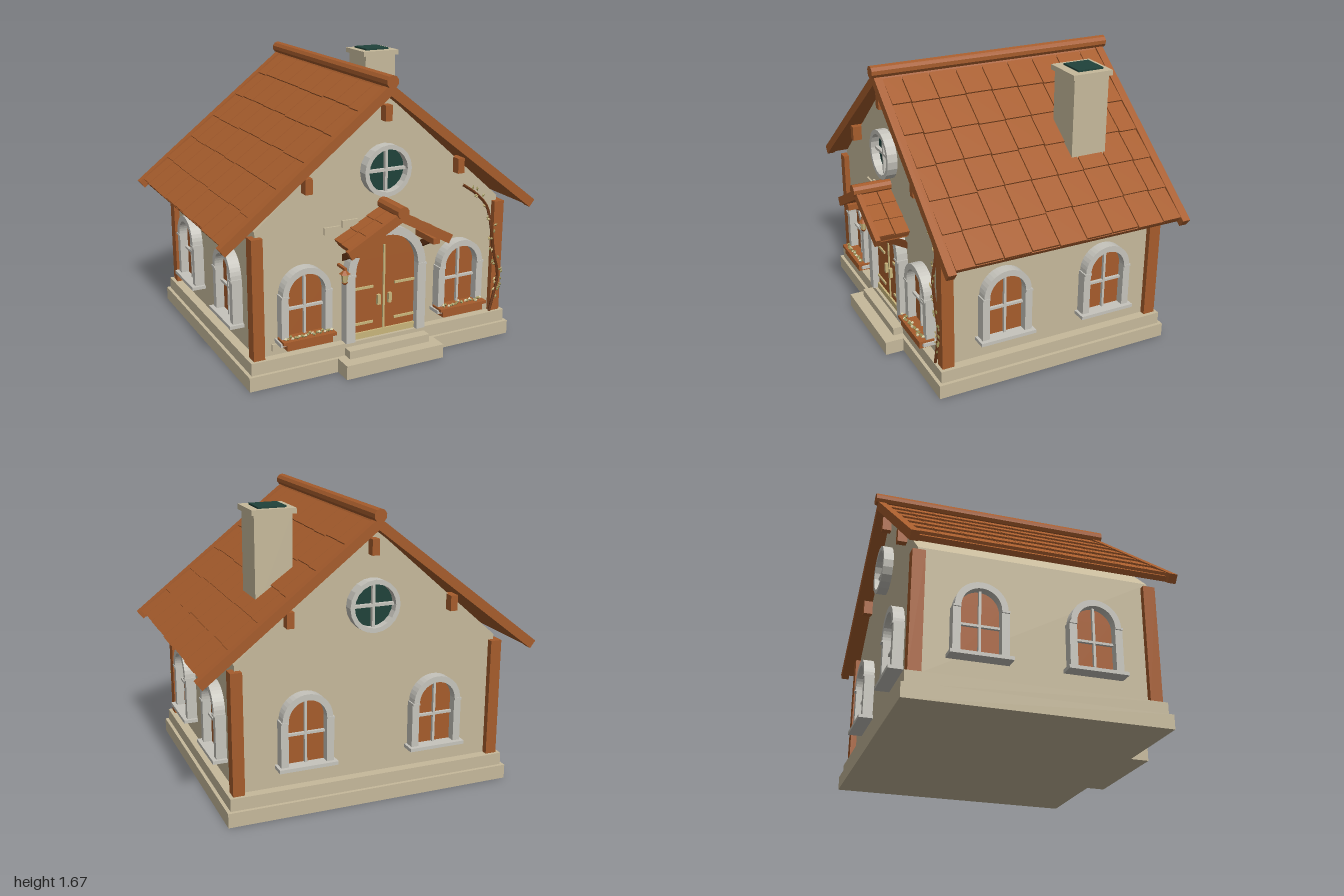
import * as THREE from 'three';

const mat = (name, color) => {
  const m = new THREE.MeshStandardMaterial({ color, flatShading: true });
  m.name = name;
  return m;
};

export function createModel() {
  const plaster = mat('plaster', 0xc6b99b), wood = mat('wood', 0xa65c2c), stone = mat('stone', 0xc6c4bc);
  const glass = mat('dark glass', 0x1f423a), brass = mat('brass', 0xc9b67c), darkWood = mat('dark wood', 0x6b3818);
  const leaf = mat('leaf', 0x9c9358), cream = mat('flower cream', 0xd8cfa8);
  const model = new THREE.Group();
  model.name = 'cottage';

  const add = (parent, name, geo, m, x = 0, y = 0, z = 0) => {
    const mesh = new THREE.Mesh(geo, m);
    mesh.name = name;
    mesh.position.set(x, y, z);
    parent.add(mesh);
    return mesh;
  };
  // Box given by its lower and upper bounds
  const box = (parent, name, m, x0, x1, y0, y1, z0, z1) =>
    add(parent, name, new THREE.BoxGeometry(x1 - x0, y1 - y0, z1 - z0), m, (x0 + x1) / 2, (y0 + y1) / 2, (z0 + z1) / 2);
  const extrude = (shape, depth) => new THREE.ExtrudeGeometry(shape, { depth, bevelEnabled: false, curveSegments: 10 });
  const hash = (i) => { const v = Math.sin(i * 12.9898) * 43758.5453; return v - Math.floor(v); };
  const group = (name, x = 0, y = 0, z = 0, ry = 0) => {
    const g = new THREE.Group();
    g.name = name;
    g.position.set(x, y, z);
    g.rotation.y = ry;
    model.add(g);
    return g;
  };

  // Stepped foundation
  box(model, 'lowerPlinth', plaster, -0.85, 0.85, 0, 0.083, -0.8, 0.67);
  box(model, 'upperPlinth', plaster, -0.83, 0.83, 0.083, 0.155, -0.78, 0.65);
  box(model, 'lowerStep', plaster, -0.315, 0.315, 0, 0.083, 0.6, 0.78);
  box(model, 'upperStep', plaster, -0.26, 0.26, 0.083, 0.13, 0.6, 0.71);

  // Gabled walls
  const X = 0.775, ZF = 0.6, ZB = -0.725;
  const gable = new THREE.Shape([[-X, 0.15], [X, 0.15], [X, 0.88], [0, 1.56], [-X, 0.88]].map(p => new THREE.Vector2(...p)));
  add(model, 'walls', extrude(gable, ZF - ZB), plaster, 0, 0, ZB);
  for (const x of [-X, X]) for (const z of [ZF - 0.003, ZB])
    box(model, 'cornerPost', wood, x - 0.033, x + 0.033, 0.155, 0.85, z - 0.036, z + 0.036);

  // Purlin ends under both gables
  for (const [x, y] of [[0, 1.455], [-0.48, 1.105], [0.48, 1.105]])
    for (const z of [ZF + 0.015, ZB - 0.015])
      box(model, 'purlinEnd', wood, x - 0.021, x + 0.021, y - 0.044, y + 0.044, z - 0.04, z + 0.04);

  // Pitched roof: d runs down the slope, n is the height off the slope
  function makeRoof(prefix, apexY, angle, length, z0, z1, rows, seams, bargeEnds) {
    const g = group(prefix);
    const c = Math.cos(angle), s = Math.sin(angle);
    const slab = (side, name, m, d0, d1, n0, n1, za, zb, tilt = 0) => {
      const d = (d0 + d1) / 2, n = (n0 + n1) / 2;
      const mesh = add(g, name, new THREE.BoxGeometry(d1 - d0, n1 - n0, zb - za), m,
        side * (d * c + n * s), apexY - d * s + n * c, (za + zb) / 2);
      mesh.rotation.z = -side * (angle - tilt);
    };
    for (const side of [-1, 1]) {
      slab(side, prefix + 'Deck', wood, 0, length - 0.03, -0.05, -0.02, z0, z1);
      for (const [a, b] of bargeEnds) slab(side, prefix + 'Barge', wood, 0, length, -0.05, 0.003, a, b);
      const step = (length - 0.04) / rows;
      for (let r = 0; r < rows; r++) for (let k = 0; k < seams.length - 1; k++) {
        const j = hash(r * 17 + k * 5 + side * 3) * 0.012;
        slab(side, prefix + 'Tile', wood, r * step, (r + 1) * step + 0.006 + j, -0.021, -0.004,
          seams[k] + 0.003, seams[k + 1] - 0.003, 0.05);
      }
    }
    return g;
  }
  const seams = [-0.77];
  for (let k = 0; k < 8; k++) seams.push(-0.65 + k * 0.166);
  seams.push(0.627);
  const ridge = (parent, name, r, y, z0, z1) => {
    const m = add(parent, name, new THREE.CylinderGeometry(r, r, z1 - z0, 10), wood, 0, y, (z0 + z1) / 2);
    m.rotation.x = Math.PI / 2;
  };
  const roof = makeRoof('roof', 1.615, 0.661, 1.266, -0.8, 0.65, 6, seams, [[-0.815, -0.768], [0.628, 0.675]]);
  ridge(roof, 'ridgeBeam', 0.037, 1.63, -0.83, 0.69);

  // Porch roof with braces
  const porch = makeRoof('porchRoof', 0.94, 0.5, 0.375, 0.58, 0.8, 3, [0.6, 0.69, 0.787], [[0.785, 0.815]]);
  ridge(porch, 'porchRidge', 0.036, 0.94, 0.58, 0.83);
  for (const x of [-0.24, 0.24]) {
    box(porch, 'porchBeam', wood, x - 0.022, x + 0.022, 0.715, 0.75, 0.59, 0.79);
    const brace = add(porch, 'porchBrace', new THREE.BoxGeometry(0.034, 0.035, 0.16), darkWood, x, 0.69, 0.665);
    brace.rotation.x = -0.5;
  }

  // Chimney
  box(model, 'chimneyStack', plaster, 0.365, 0.58, 1.08, 1.62, -0.5, -0.28);
  box(model, 'chimneyCap', plaster, 0.345, 0.596, 1.615, 1.645, -0.515, -0.265);
  box(model, 'chimneyFlue', glass, 0.39, 0.552, 1.645, 1.655, -0.48, -0.32);

  // Arched panel, from y0 up to a half circle of radius r at height ys
  const archShape = (r, y0, ys) => {
    const s = new THREE.Shape();
    s.moveTo(-r, y0);
    s.lineTo(r, y0);
    s.lineTo(r, ys);
    s.absarc(0, ys, r, 0, Math.PI, false);
    s.lineTo(-r, y0);
    return s;
  };
  // Half-ring of stones on two jambs
  function surround(g, ri, ro, y0, ys, depth) {
    const s = new THREE.Shape();
    s.absarc(0, ys, ro, 0, Math.PI, false);
    s.absarc(0, ys, ri, Math.PI, 0, true);
    add(g, 'archStones', extrude(s, depth), stone);
    for (const k of [-1, 1]) {
      const mid = k * (ri + ro + 0.008) / 2, h = (ro + 0.008 - ri) / 2;
      box(g, 'jamb', stone, mid - h, mid + h, y0, ys - 0.012, 0, depth - 0.004);
      box(g, 'impost', stone, mid - h, mid + h, ys - 0.012, ys, 0, depth + 0.004);
    }
  }

  // Arched windows; local origin is the sill
  function archedWindow(x, y, z, ry) {
    const g = group('archedWindow', x, y, z, ry);
    add(g, 'shutterPane', extrude(archShape(0.113, 0.02, 0.28), 0.012), wood);
    surround(g, 0.11, 0.145, 0.02, 0.28, 0.065);
    box(g, 'sill', stone, -0.17, 0.17, 0, 0.02, 0, 0.085);
    box(g, 'verticalBar', stone, -0.007, 0.007, 0.02, 0.39, 0.01, 0.03);
    box(g, 'horizontalBar', stone, -0.11, 0.11, 0.183, 0.197, 0.01, 0.03);
  }
  for (const z of [0.25, -0.39]) {
    archedWindow(X, 0.268, z, Math.PI / 2);
    archedWindow(-X, 0.268, z, -Math.PI / 2);
  }
  for (const k of [-1, 1]) {
    archedWindow(k * 0.39, 0.268, ZB, Math.PI);
    archedWindow(k * 0.5, 0.232, ZF, 0);
  }

  // Round gable windows
  for (const [z, ry] of [[ZF, 0], [ZB, Math.PI]]) {
    const g = group('roundWindow', 0, 1.135, z, ry);
    const ring = new THREE.Shape().absarc(0, 0, 0.147, 0, Math.PI * 2, false);
    ring.holes.push(new THREE.Path().absarc(0, 0, 0.121, 0, Math.PI * 2, true));
    add(g, 'roundFrame', extrude(ring, 0.06), stone);
    add(g, 'roundPane', new THREE.CircleGeometry(0.124, 24), glass, 0, 0, 0.012);
    box(g, 'verticalBar', stone, -0.008, 0.008, -0.123, 0.123, 0.01, 0.035);
    box(g, 'horizontalBar', stone, -0.123, 0.123, -0.008, 0.008, 0.01, 0.035);
  }

  // Double door
  const door = group('door', 0, 0, ZF);
  add(door, 'doorLeaves', extrude(archShape(0.205, 0.155, 0.565), 0.02), wood);
  surround(door, 0.202, 0.25, 0.155, 0.565, 0.065);
  box(door, 'threshold', brass, -0.205, 0.205, 0.155, 0.192, 0.01, 0.032);
  box(door, 'centreStrip', brass, -0.006, 0.006, 0.19, 0.7, 0.018, 0.028);
  for (const k of [-1, 1]) {
    for (const y of [0.245, 0.46]) {
      const hinge = add(door, 'hingeStrap', new THREE.BoxGeometry(0.13, 0.014, 0.01), brass, k * 0.135, y, 0.024);
      hinge.rotation.z = 0;
    }
    box(door, 'handle', brass, k * 0.036 - 0.01, k * 0.036 + 0.01, 0.345, 0.405, 0.018, 0.038);
  }

  // Flower boxes
  for (const k of [-1, 1]) {
    const g = group('flowerBox', k * 0.5, 0, 0);
    box(g, 'trough', wood, -0.138, 0.138, 0.208, 0.25, 0.62, 0.697);
    box(g, 'troughRim', wood, -0.16, 0.16, 0.246, 0.264, 0.615, 0.705);
    for (let i = 0; i < 22; i++) {
      const bloom = add(g, i % 3 ? 'foliage' : 'blossom', new THREE.OctahedronGeometry(0.011), i % 3 ? leaf : cream,
        -0.135 + i * 0.0129, 0.267 + hash(i + k) * 0.018, 0.67 + hash(i * 3 + k) * 0.022);
      bloom.rotation.z = hash(i) * 3;
    }
  }

  // Exposed wall stones
  for (const [x, y] of [[-0.32, 0.826], [-0.21, 0.852], [-0.64, 0.202]])
    box(model, 'wallStone', plaster, x - 0.05, x + 0.05, y - 0.02, y + 0.02, ZF - 0.005, ZF + 0.012);

  // Hanging lantern
  const lantern = group('lantern', -0.28, 0, 0.68);
  box(lantern, 'lanternArm', wood, -0.008, 0.008, 0.612, 0.626, -0.08, 0.01);
  add(lantern, 'lanternRoof', new THREE.ConeGeometry(0.032, 0.03, 6), wood, 0, 0.605, 0);
  add(lantern, 'lanternGlass', new THREE.CylinderGeometry(0.022, 0.014, 0.052, 6), brass, 0, 0.565, 0);
  add(lantern, 'lanternBase', new THREE.CylinderGeometry(0.018, 0.01, 0.012, 6), wood, 0, 0.535, 0);

  // Climbing vine
  const vine = group('vine');
  const curve = new THREE.CatmullRomCurve3([[0.73, 0.16], [0.755, 0.26], [0.78, 0.39], [0.745, 0.53], [0.72, 0.68],
    [0.7, 0.82], [0.62, 0.91], [0.52, 0.98]].map(([x, y], i) => new THREE.Vector3(x, y, i < 5 ? 0.643 : 0.615)));
  add(vine, 'vineStem', new THREE.TubeGeometry(curve, 28, 0.009, 5), darkWood);
  for (let i = 0; i < 30; i++) {
    const t = 0.1 + 0.9 * hash(i + 40), p = curve.getPoint(t), side = i % 2 ? 1 : -1;
    const l = add(vine, 'vineLeaf', new THREE.OctahedronGeometry(0.015), i % 4 ? leaf : brass,
      p.x + side * (0.012 + 0.018 * hash(i)), p.y + 0.02 * hash(i * 7), p.z + 0.006);
    l.scale.set(1, 0.55, 0.4);
    l.rotation.z = hash(i * 5) * 3;
  }
  return model;
}
